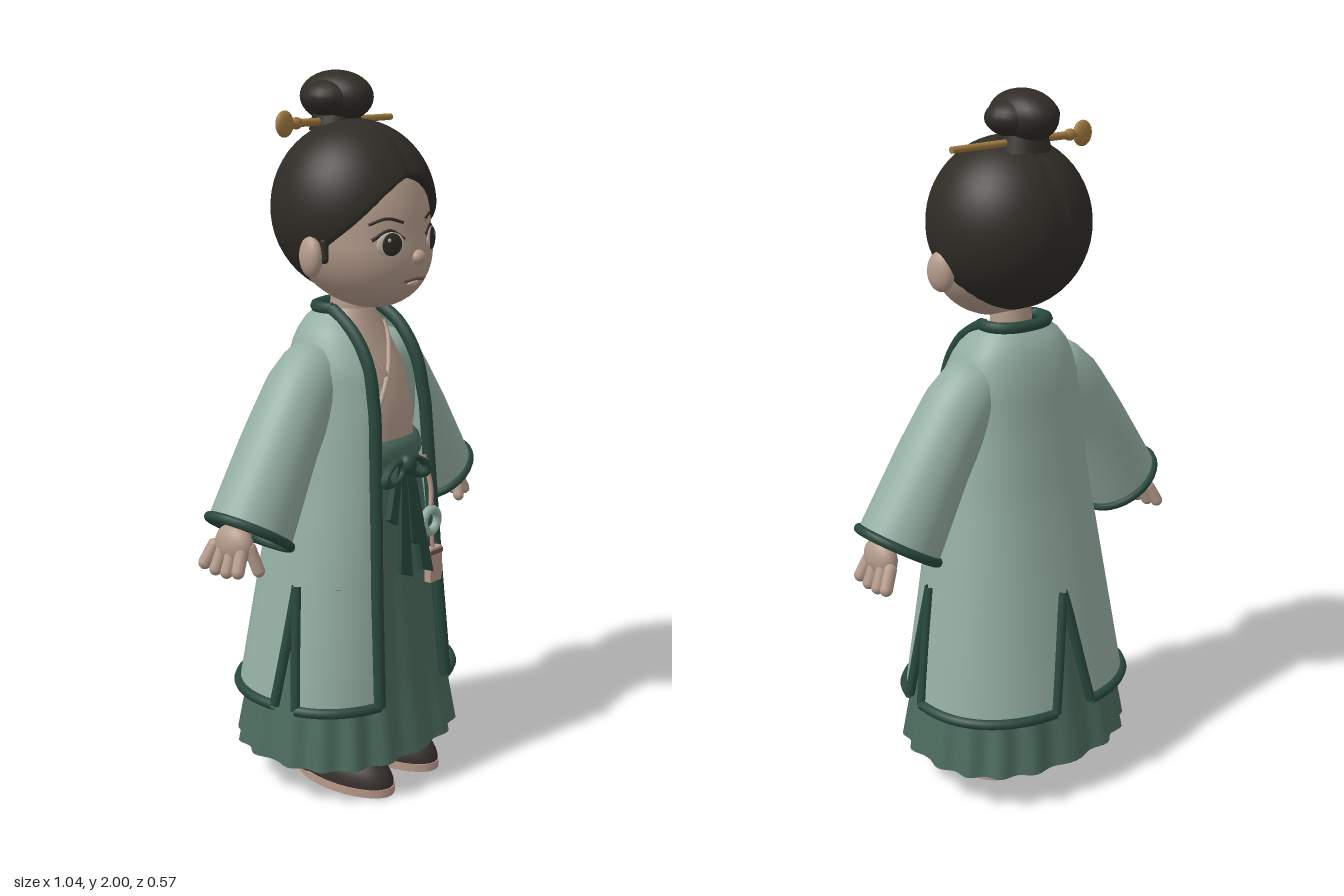
import * as THREE from 'three';
import { mergeVertices } from 'three/addons/utils/BufferGeometryUtils.js';

const mat = (name, color, side = THREE.FrontSide) => new THREE.MeshStandardMaterial({ name, color, side });
const V = (x, y, z) => new THREE.Vector3(x, y, z);
const lerp = THREE.MathUtils.lerp;

// Smooth surface from a rule f(u, v) -> [x, y, z]
function grid(f, nu, nv) {
  const pos = [], idx = [], w = nu + 1;
  for (let j = 0; j <= nv; j++) for (let i = 0; i <= nu; i++) pos.push(...f(i / nu, j / nv));
  for (let j = 0; j < nv; j++) for (let i = 0; i < nu; i++) {
    const a = j * w + i;
    idx.push(a, a + 1, a + w + 1, a, a + w + 1, a + w);
  }
  let g = new THREE.BufferGeometry();
  g.setAttribute('position', new THREE.Float32BufferAttribute(pos, 3));
  g.setIndex(idx);
  g = mergeVertices(g, 1e-4);
  g.computeVertexNormals();
  return g;
}

// Interpolated row of a table whose first column is the key
function row(table, k) {
  let i = 0;
  while (i < table.length - 2 && k > table[i + 1][0]) i++;
  const t = THREE.MathUtils.clamp((k - table[i][0]) / (table[i + 1][0] - table[i][0]), 0, 1);
  return table[i].map((n, c) => lerp(n, table[i + 1][c], t));
}

// Cross-sections: y, half width, front depth, back depth
const COAT = [[0.28, 0.33, 0.26, 0.272], [0.6, 0.275, 0.237, 0.222], [0.9, 0.225, 0.222, 0.172], [1.1, 0.2, 0.21, 0.147],
  [1.22, 0.19, 0.185, 0.135], [1.3, 0.165, 0.14, 0.118], [1.35, 0.125, 0.09, 0.092], [1.375, 0.09, 0.05, 0.065]];
const SKIRT = [[0.115, 0.33, 0.275, 0.277], [0.3, 0.3, 0.243, 0.243], [0.6, 0.25, 0.215, 0.195], [0.9, 0.195, 0.197, 0.15], [1.02, 0.17, 0.187, 0.13]];
const CHEST = [[0.98, 0.16, 0.185, 0.12], [1.1, 0.16, 0.178, 0.11], [1.2, 0.15, 0.15, 0.1], [1.3, 0.11, 0.1, 0.08], [1.37, 0.065, 0.07, 0.05]];
const POWER = 0.85;
function around(table, a, y, grow = 0) {
  const [, rx, zf, zb] = row(table, y), s = Math.sin(a), c = Math.cos(a);
  return [(rx + grow) * Math.sign(s) * Math.abs(s) ** POWER, y, ((c > 0 ? zf : zb) + grow) * Math.sign(c) * Math.abs(c) ** POWER];
}

const FACE = { y: 1.58, up: 0.27, down: 0.205 };
const jaw = y => Math.max(0, (FACE.y - y) / FACE.down);
function faceZ(x, y) {
  const t = y > FACE.y ? (y - FACE.y) / FACE.up : jaw(y);
  return 0.03 + 0.06 * jaw(y) + 0.205 * Math.sqrt(Math.max(0, 1 - (x / 0.2) ** 2 - t * t));
}

export function createModel() {
  const root = new THREE.Group();
  const robe = mat('sage cloth', 0x94aea2, THREE.DoubleSide), trim = mat('dark green trim', 0x28483d, THREE.DoubleSide);
  const skirtMat = mat('green skirt cloth', 0x4c6b5e, THREE.DoubleSide), skin = mat('skin', 0xb49b8b);
  const hairMat = mat('black brown hair', 0x2f2c26, THREE.DoubleSide), gold = mat('gold', 0xa07a40);
  const shoeMat = mat('dark shoe', 0x362f2a), tan = mat('tan', 0xb8988a);
  const white = mat('eye white', 0xc4b8ac), lip = mat('brown lip', 0x74524a);

  const add = (name, geo, m, parent = root) => {
    const mesh = new THREE.Mesh(geo, m);
    mesh.name = name;
    parent.add(mesh);
    return mesh;
  };
  const ball = (name, m, p, r, parent = root) => {
    const mesh = add(name, new THREE.SphereGeometry(1, 24, 16), m, parent);
    mesh.position.set(...p);
    mesh.scale.set(...r);
    return mesh;
  };
  const tube = (name, pts, r, m, parent = root) => {
    const curve = new THREE.CatmullRomCurve3(pts.map(p => V(...p)));
    return add(name, new THREE.TubeGeometry(curve, pts.length * 4, r, 8), m, parent);
  };
  const limb = (name, a, b, r, m, parent) => {
    const A = V(...a), B = V(...b), d = B.clone().sub(A);
    const mesh = add(name, new THREE.CapsuleGeometry(r, d.length(), 6, 10), m, parent);
    mesh.position.copy(A).lerp(B, 0.5);
    mesh.quaternion.setFromUnitVectors(V(0, 1, 0), d.normalize());
  };
  const steps = (n, f) => Array.from({ length: n + 1 }, (_, i) => f(i / n));

  // Pleated skirt, dark lining, belt and chest
  const pleat = (u, y, g) => around(SKIRT, u * 2 * Math.PI, y, g + 0.009 * Math.cos(u * 36 * Math.PI) * (1.02 - y));
  add('skirt', grid((u, v) => pleat(u, lerp(0.115, 1.02, v), 0), 144, 16), skirtMat);
  add('skirtLining', grid((u, v) => pleat(u, lerp(0.118, 0.5, v), -0.014 * Math.min(1, v * 8)), 144, 10), trim);
  add('belt', grid((u, v) => around(SKIRT, u * 2 * Math.PI, lerp(0.95, 1.02, v), 0.012 * Math.sin(Math.PI * v) ** 0.5), 48, 6), skirtMat);
  add('chest', grid((u, v) => around(CHEST, u * 2 * Math.PI, lerp(0.98, 1.37, v)), 40, 10), skin);
  const lapel = (x0, y0, x1, y1) => steps(8, t => {
    const x = lerp(x0, x1, t), y = lerp(y0, y1, t), [, rx, zf] = row(CHEST, y);
    const a = Math.asin((Math.min(0.95, Math.abs(x) / rx)) ** (1 / POWER));
    return [x, y, zf * Math.cos(a) ** POWER];
  });
  tube('lapelOver', lapel(0.075, 1.32, -0.11, 1.05), 0.008, skin);
  tube('lapelUnder', lapel(-0.075, 1.32, -0.005, 1.17), 0.008, skin);

  // Coat: upper shell, then panels parted by slits at the sides and back
  const SLIT = 0.63, HEM = 0.28;
  const open = y => Math.asin(Math.min(0.95, lerp(0.15, 0.1, (y - HEM) / 1.0) / row(COAT, y)[1]) ** (1 / POWER));
  const cut = (a, half) => y => a + half * (SLIT - y) / (SLIT - HEM);
  add('coatUpper', grid((u, v) => {
    const y = lerp(SLIT, 1.375, v), a = open(y);
    return around(COAT, lerp(a, 2 * Math.PI - a, u), y);
  }, 64, 24), robe);
  tube('coatCollar', steps(16, t => around(COAT, lerp(open(1.372), 2 * Math.PI - open(1.372), t), 1.372, 0.002)), 0.017, trim);
  const sides = [1, -1].map(s => {
    const g = new THREE.Group();
    g.name = s > 0 ? 'leftSide' : 'rightSide';
    g.scale.x = s;
    root.add(g);
    return g;
  });
  for (const g of sides) {
    for (const [name, from, to] of [['coatFrontPanel', open, cut(1.426, -0.12)], ['coatBackPanel', cut(1.426, 0.12), cut(Math.PI, -0.15)]]) {
      add(name, grid((u, v) => {
        const y = lerp(HEM, SLIT, v);
        return around(COAT, lerp(from(y), to(y), u), y);
      }, 20, 8), robe, g);
      tube('hemTrim', steps(10, t => around(COAT, lerp(from(HEM), to(HEM), t), HEM + 0.008, 0.002)), 0.015, trim, g);
      for (const edge of [from, to]) if (edge !== open)
        tube('slitTrim', steps(8, t => { const y = lerp(HEM + 0.008, SLIT, t); return around(COAT, edge(y), y, 0.002); }), 0.014, trim, g);
    }
    tube('frontTrim', steps(24, t => { const y = lerp(HEM + 0.008, 1.372, t); return around(COAT, open(y), y, 0.002); }), 0.018, trim, g);

    // Wide sleeve: key, centre x, centre y, half width, half depth
    const SLEEVE = [[0, 0.06, 1.27, 0.03, 0.03], [0.15, 0.12, 1.24, 0.09, 0.085], [0.35, 0.19, 1.165, 0.1, 0.1],
      [0.65, 0.28, 1.03, 0.105, 0.107], [1, 0.395, 0.825, 0.122, 0.113], [1.1, 0.41, 0.8, 0.122, 0.113]];
    const ring = (u, k, grow = 0) => {
      const [, x, y, a, b] = row(SLEEVE, k), t = u * 2 * Math.PI, p = (a + grow) * Math.cos(t);
      return [x + 0.85 * p, y + 0.53 * p, (b + grow) * Math.sin(t)];
    };
    add('sleeve', grid((u, v) => ring(u, v * 1.08), 32, 16), robe, g);
    add('cuff', grid((u, v) => ring(u, 1.055 + 0.045 * Math.cos(v * 2 * Math.PI), 0.012 * Math.sin(v * 2 * Math.PI)), 32, 10), trim, g);
    add('sleeveLining', grid((u, v) => ring(u, lerp(1.08, 0.6, Math.min(1, v * 1.3)), v > 0.77 ? -0.1 : -0.008), 32, 10), trim, g);

    // Arm and hand
    limb('forearm', [0.33, 0.95, 0], [0.45, 0.82, 0], 0.038, skin, g);
    ball('palm', skin, [0.462, 0.793, 0], [0.036, 0.055, 0.062], g);
    for (let i = 0; i < 4; i++) {
      const z = (1.5 - i) * 0.034 - 0.012;
      limb('finger', [0.475, 0.78, z], [0.498, 0.722 + 0.008 * Math.abs(i - 1.5), z * 1.2], 0.018, skin, g);
    }
    limb('thumb', [0.455, 0.79, 0.05], [0.442, 0.728, 0.068], 0.017, skin, g);

    // Foot
    const sole = add('sole', new THREE.CylinderGeometry(1, 1, 0.024, 32), tan, g);
    sole.scale.set(0.085, 1, 0.17);
    sole.position.set(0.104, 0.012, 0.08);
    const shoe = add('shoe', new THREE.SphereGeometry(1, 28, 10, 0, Math.PI * 2, 0, Math.PI / 2), shoeMat, g);
    shoe.scale.set(0.083, 0.095, 0.167);
    shoe.position.set(0.104, 0.022, 0.08);
    const ankle = add('ankle', new THREE.CylinderGeometry(0.066, 0.076, 0.4, 24), shoeMat, g);
    ankle.position.set(0.104, 0.222, -0.008);

    // Ear, eye and brow
    ball('ear', skin, [0.208, 1.53, 0.05], [0.026, 0.055, 0.042], g).rotation.y = 0.3;
    ball('earHollow', lip, [0.228, 1.535, 0.058], [0.006, 0.026, 0.016], g);
    limb('sideLock', [0.196, 1.57, 0.085], [0.198, 1.525, 0.088], 0.012, hairMat, g);
    const eye = new THREE.Group();
    eye.name = 'eye';
    eye.position.set(0.086, 1.564, faceZ(0.086, 1.564));
    eye.rotation.y = 0.42;
    g.add(eye);
    ball('eyeWhite', white, [0, 0, 0], [0.041, 0.032, 0.007], eye);
    ball('iris', hairMat, [-0.002, 0, 0.003], [0.03, 0.03, 0.007], eye);
    ball('glint', white, [0.008, 0.012, 0.0095], [0.005, 0.005, 0.002], eye);
    const onFace = (x, y) => [x, y, faceZ(x, y)];
    tube('lashLine', [onFace(0.045, 1.575), onFace(0.085, 1.599), onFace(0.128, 1.575)], 0.005, hairMat, g);
    tube('brow', [onFace(0.045, 1.618), onFace(0.09, 1.63), onFace(0.132, 1.615)], 0.004, hairMat, g);
  }

  // Head, nose and mouth
  add('head', grid((u, v) => {
    const a = u * 2 * Math.PI, t = (v - 0.5) * Math.PI, c = Math.cos(t);
    const y = FACE.y + Math.sin(t) * (t > 0 ? FACE.up : FACE.down);
    return [0.2 * c * Math.sin(a), y, 0.03 + 0.06 * jaw(y) + 0.205 * c * Math.cos(a)];
  }, 40, 28), skin);
  ball('nose', skin, [0, 1.524, 0.243], [0.022, 0.02, 0.02]);
  tube('mouth', [-0.042, -0.02, 0, 0.02, 0.042].map(x => [x, 1.466 - 0.1 * Math.abs(x), faceZ(x, 1.464)]), 0.005, lip);
  ball('lowerLip', skin, [0, 1.452, faceZ(0, 1.452)], [0.024, 0.009, 0.008]);
  const neck = add('neck', new THREE.CylinderGeometry(0.052, 0.064, 0.16, 24), skin);
  neck.position.set(0, 1.38, 0.012);

  // Hair cap with a centre parting and a rolled edge
  const LINE = [[0, 1.74], [0.25, 1.725], [0.5, 1.69], [0.9, 1.61], [1.25, 1.55], [1.6, 1.47], [1.9, 1.425], [Math.PI, 1.412]];
  add('hair', grid((u, v) => {
    const a = (u * 2 - 1) * Math.PI, k = Math.min(1, v / 0.88);
    const t = k * Math.acos((row(LINE, Math.abs(a))[1] - 1.64) / 0.235);
    const r = (v > 0.88 ? 1 - 0.17 * (v - 0.88) / 0.12 : 1) - 0.04 * Math.sin(t) * Math.exp(-((Math.sin(a) / 0.07) ** 2));
    return [-0.225 * r * Math.sin(t) * Math.sin(a), 1.64 + 0.235 * r * Math.cos(t), 0.02 + 0.225 * r * Math.sin(t) * Math.cos(a)];
  }, 64, 25), hairMat);

  // Bun and hairpin
  ball('bunMiddle', hairMat, [0, 1.93, -0.04], [0.078, 0.07, 0.113]);
  ball('bunSides', hairMat, [0, 1.928, -0.035], [0.109, 0.056, 0.082]);
  const base = add('bunBase', new THREE.CylinderGeometry(0.06, 0.075, 0.06, 24), hairMat);
  base.position.set(0, 1.872, -0.04);
  const pin = add('hairpin', new THREE.CylinderGeometry(0.009, 0.011, 0.44, 12), gold);
  pin.rotation.z = -Math.PI / 2;
  pin.position.set(0.02, 1.866, -0.046);
  ball('hairpinHead', gold, [-0.2, 1.866, -0.046], [0.032, 0.035, 0.014]);
  ball('hairpinCollar', gold, [-0.155, 1.866, -0.046], [0.02, 0.016, 0.014]);

  // Sash bow and hanging ends
  const bow = new THREE.Group();
  bow.name = 'sashBow';
  bow.position.set(0, 0.955, 0.205);
  bow.rotation.x = -0.1;
  root.add(bow);
  ball('knot', trim, [-0.015, 0, 0.022], [0.026, 0.03, 0.026], bow);
  for (const s of [1, -1]) {
    const loop = add('bowLoop', new THREE.TorusGeometry(0.028, 0.011, 8, 20), trim, bow);
    loop.scale.set(1.5, 0.8, 1.3);
    loop.position.set(-0.015 + s * 0.052, -0.018, 0.014);
    loop.rotation.z = s * -0.45;
  }
  for (const [x0, x1, len, w] of [[-0.025, -0.045, 0.3, 0.024], [0.005, 0.048, 0.31, 0.024], [-0.005, 0.005, 0.22, 0.016], [-0.04, -0.085, 0.14, 0.015]]) {
    const s = new THREE.Shape([[x0 - 0.01, 0], [x1 - w, -len], [x1 + w, -len - 0.02], [x0 + 0.01, 0]].map(p => new THREE.Vector2(...p)));
    add('sashEnd', new THREE.ExtrudeGeometry(s, { depth: 0.018, bevelEnabled: false }), trim, bow);
  }

  // Waist ornament: cord, ring and tag
  tube('ornamentCord', [[0.085, 0.96, 0.205], [0.095, 0.86, 0.225], [0.085, 0.8, 0.232]], 0.007, tan);
  const disc = add('ornamentRing', new THREE.TorusGeometry(0.032, 0.013, 10, 24), robe);
  disc.position.set(0.085, 0.77, 0.232);
  tube('tagCord', [[0.085, 0.74, 0.236], [0.09, 0.69, 0.238]], 0.006, tan);
  const tag = add('ornamentTag', new THREE.BoxGeometry(0.052, 0.1, 0.022), tan);
  tag.position.set(0.094, 0.642, 0.238);
  const band = add('tagBand', new THREE.BoxGeometry(0.056, 0.012, 0.026), lip);
  band.position.set(0.094, 0.68, 0.238);
  return root;
}
